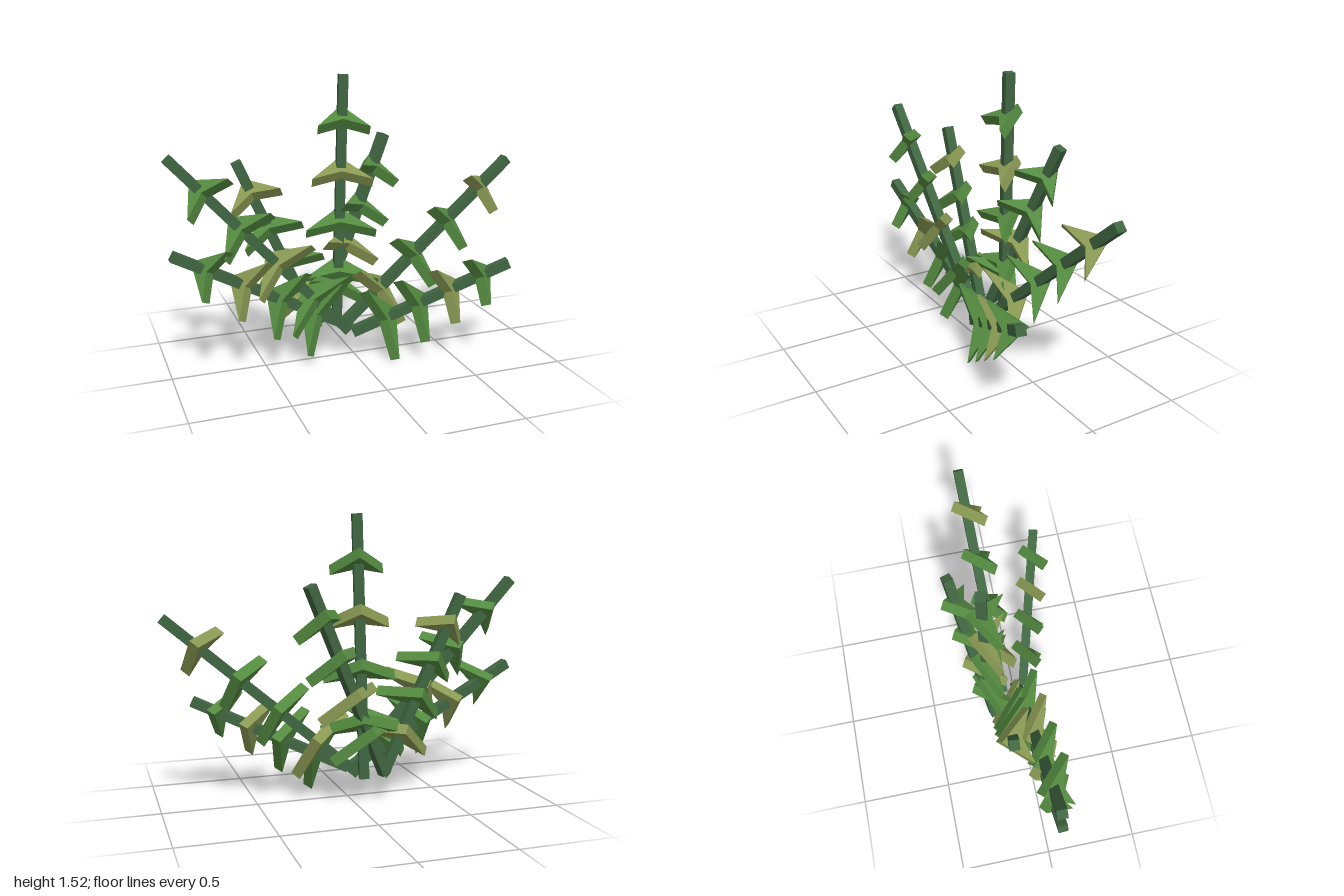
import * as THREE from 'three';

const flat = (name, color) => {
  const m = new THREE.MeshStandardMaterial({ color, flatShading: true });
  m.name = name;
  return m;
};

// Base, tip, and leaf colours from tip to base (G green, O olive)
const STEMS = [
  { name: 'centreStem', base: [-0.04, 0.15, -0.162], tip: [0, 1.53, -0.154], leaves: 'GOGG' },
  { name: 'leftUpperStem', base: [-0.03, 0.155, -0.075], tip: [0.98, 1.022, -0.11], leaves: 'OGGO' },
  { name: 'leftLowerStem', base: [-0.02, 0.155, 0.05], tip: [0.795, 0.53, 0.28], leaves: 'GOGG' },
  { name: 'leftBackStem', base: [-0.16, 0.16, -0.15], tip: [0.285, 1.178, -0.285], leaves: 'GGOG' },
  { name: 'rightUpperStem', base: [-0.04, 0.155, 0.02], tip: [-0.972, 1.172, 0.025], leaves: 'GGOG' },
  { name: 'rightLowerStem', base: [-0.02, 0.17, 0], tip: [-0.975, 0.688, 0.055], leaves: 'GOGG' },
  { name: 'rightBackStem', base: [-0.18, 0.155, -0.09], tip: [-0.6, 1.105, -0.12], leaves: 'OGGO' },
];
const STEM_WIDTH = 0.052;

// Leaf pairs: position along the stem and half span, from tip to base
const LEAF_PAIRS = [
  { at: 0.83, span: 0.14 },
  { at: 0.625, span: 0.165 },
  { at: 0.42, span: 0.192 },
  { at: 0.215, span: 0.215 },
];
const LEAF_THICK = 0.058;

// Flat arrowhead: point behind the stem, two tips swept forward
function leafGeometry(span) {
  const shape = new THREE.Shape([
    new THREE.Vector2(0, 0.08),
    new THREE.Vector2(-span, -0.1),
    new THREE.Vector2(0, -0.04),
    new THREE.Vector2(span, -0.1),
  ]);
  const g = new THREE.ExtrudeGeometry(shape, { depth: LEAF_THICK, bevelEnabled: false });
  g.translate(0, 0, -LEAF_THICK / 2);
  g.rotateX(-Math.PI / 2 + Math.PI / 6); // lay flat, then droop the tips forward
  return g;
}

export function createModel() {
  const model = new THREE.Group();
  model.name = 'branchingPlant';
  const stemMat = flat('dark green stem', 0x406641);
  const leafMats = { G: flat('leaf green', 0x548b40), O: flat('olive leaf', 0x899953) };
  const leafGeos = LEAF_PAIRS.map((p) => leafGeometry(p.span));

  for (const { name, base, tip, leaves } of STEMS) {
    const a = new THREE.Vector3(...base);
    const dir = new THREE.Vector3(...tip).sub(a);
    const len = dir.length();
    dir.normalize();

    // Branch frame: y runs along the stem, z is level and faces forward
    const ez = new THREE.Vector3(-dir.z, 0, dir.x).normalize().multiplyScalar(Math.sign(dir.x));
    const ex = new THREE.Vector3().crossVectors(dir, ez);
    const branch = new THREE.Group();
    branch.name = name + 'Branch';
    branch.quaternion.setFromRotationMatrix(new THREE.Matrix4().makeBasis(ex, dir, ez));
    branch.position.copy(a);

    const stem = new THREE.Mesh(new THREE.BoxGeometry(STEM_WIDTH, len, STEM_WIDTH), stemMat);
    stem.name = name;
    stem.position.y = len / 2;
    branch.add(stem);

    // Leaf pairs, growing wider towards the base
    LEAF_PAIRS.forEach((pair, i) => {
      const leaf = new THREE.Mesh(leafGeos[i], leafMats[leaves[i]]);
      leaf.name = 'leafPair' + (i + 1);
      leaf.position.y = len * pair.at;
      branch.add(leaf);
    });
    model.add(branch);
  }
  return model;
}
